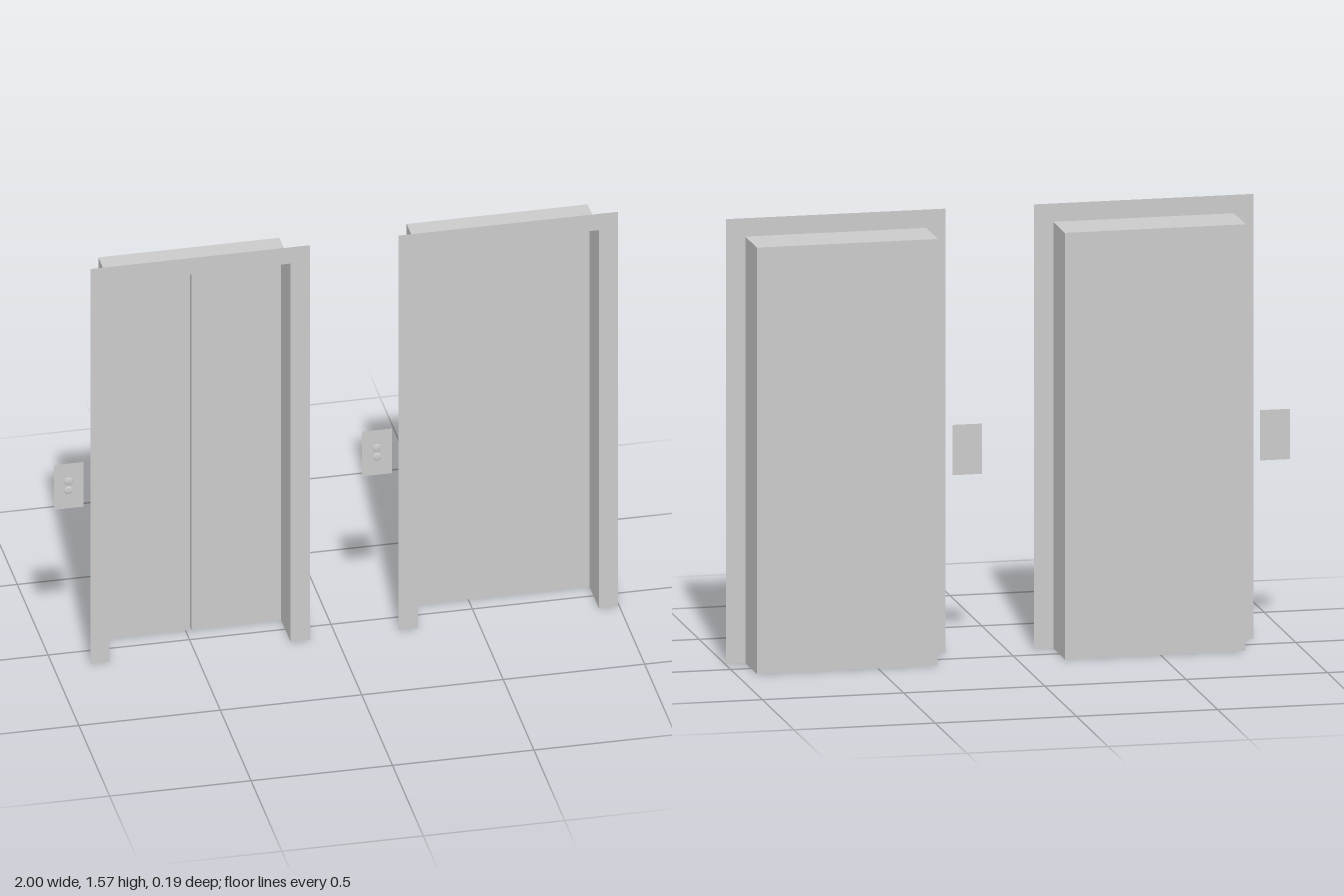
import * as THREE from 'three';

const FRONT = 0.09, BACK = -0.093, DOOR_FRONT = -0.066;
const HALF_W = 0.32, HEIGHT = 1.508, FRAME_HALF = 0.388, FRAME_TOP = 1.573;

const solid = new THREE.MeshStandardMaterial({ color: 0xcccccc });
const sheet = new THREE.MeshStandardMaterial({ color: 0xcccccc, side: THREE.DoubleSide });

function add(parent, name, geometry, material, x = 0, y = 0, z = 0) {
  const mesh = new THREE.Mesh(geometry, material);
  mesh.name = name;
  mesh.position.set(x, y, z);
  parent.add(mesh);
  return mesh;
}

// Flat surround: an upside-down U around the doorway
function surroundGeometry() {
  const pts = [
    [-FRAME_HALF, 0], [-HALF_W, 0], [-HALF_W, HEIGHT], [HALF_W, HEIGHT],
    [HALF_W, 0], [FRAME_HALF, 0], [FRAME_HALF, FRAME_TOP], [-FRAME_HALF, FRAME_TOP],
  ].map(([x, y]) => new THREE.Vector2(x, y));
  return new THREE.ShapeGeometry(new THREE.Shape(pts));
}

// Wall plate with two slightly domed call buttons
function callPanel() {
  const panel = new THREE.Group();
  panel.name = 'callPanel';
  add(panel, 'callPlate', new THREE.PlaneGeometry(0.105, 0.178), sheet);
  const profile = [[0.015, 0], [0.014, 0.002], [0.01, 0.0035], [0, 0.004]]
    .map(([r, h]) => new THREE.Vector2(r, h));
  for (const y of [0.018, -0.018]) {
    const button = add(panel, 'callButton', new THREE.LatheGeometry(profile, 24), sheet, 0, y, 0);
    button.rotation.x = Math.PI / 2;
  }
  return panel;
}

function elevator(gap) {
  const unit = new THREE.Group();
  unit.name = 'elevator';
  add(unit, 'surround', surroundGeometry(), sheet, 0, 0, FRONT);

  // Open-fronted recess: side walls and ceiling
  const depth = FRONT - BACK, midZ = (FRONT + BACK) / 2;
  for (const side of [-1, 1]) {
    const wall = add(unit, 'sideWall', new THREE.PlaneGeometry(depth, HEIGHT), sheet,
      side * HALF_W, HEIGHT / 2, midZ);
    wall.rotation.y = side * Math.PI / 2;
  }
  const ceiling = add(unit, 'ceiling', new THREE.PlaneGeometry(HALF_W * 2, depth), sheet, 0, HEIGHT, midZ);
  ceiling.rotation.x = -Math.PI / 2;
  add(unit, 'backPanel', new THREE.PlaneGeometry(HALF_W * 2, HEIGHT), sheet, 0, HEIGHT / 2, BACK);

  // Pair of sliding doors meeting in the middle
  const thick = DOOR_FRONT - BACK - 0.001, inset = 0.0005;
  const width = HALF_W - gap / 2 - inset;
  for (const side of [-1, 1]) {
    add(unit, side > 0 ? 'leftDoor' : 'rightDoor',
      new THREE.BoxGeometry(width, HEIGHT - inset, thick), solid,
      side * (gap / 2 + width / 2), (HEIGHT - inset) / 2, DOOR_FRONT - thick / 2);
  }

  const panel = callPanel();
  panel.position.set(-0.465, 0.718, FRONT);
  unit.add(panel);
  return unit;
}

export function createModel() {
  const model = new THREE.Group();
  model.name = 'elevatorPair';
  // One entrance has a fine gap between its doors, the other is fully shut
  for (const [x, gap] of [[-0.482, 0.005], [0.608, 0]]) {
    const unit = elevator(gap);
    unit.position.x = x;
    model.add(unit);
  }
  return model;
}
